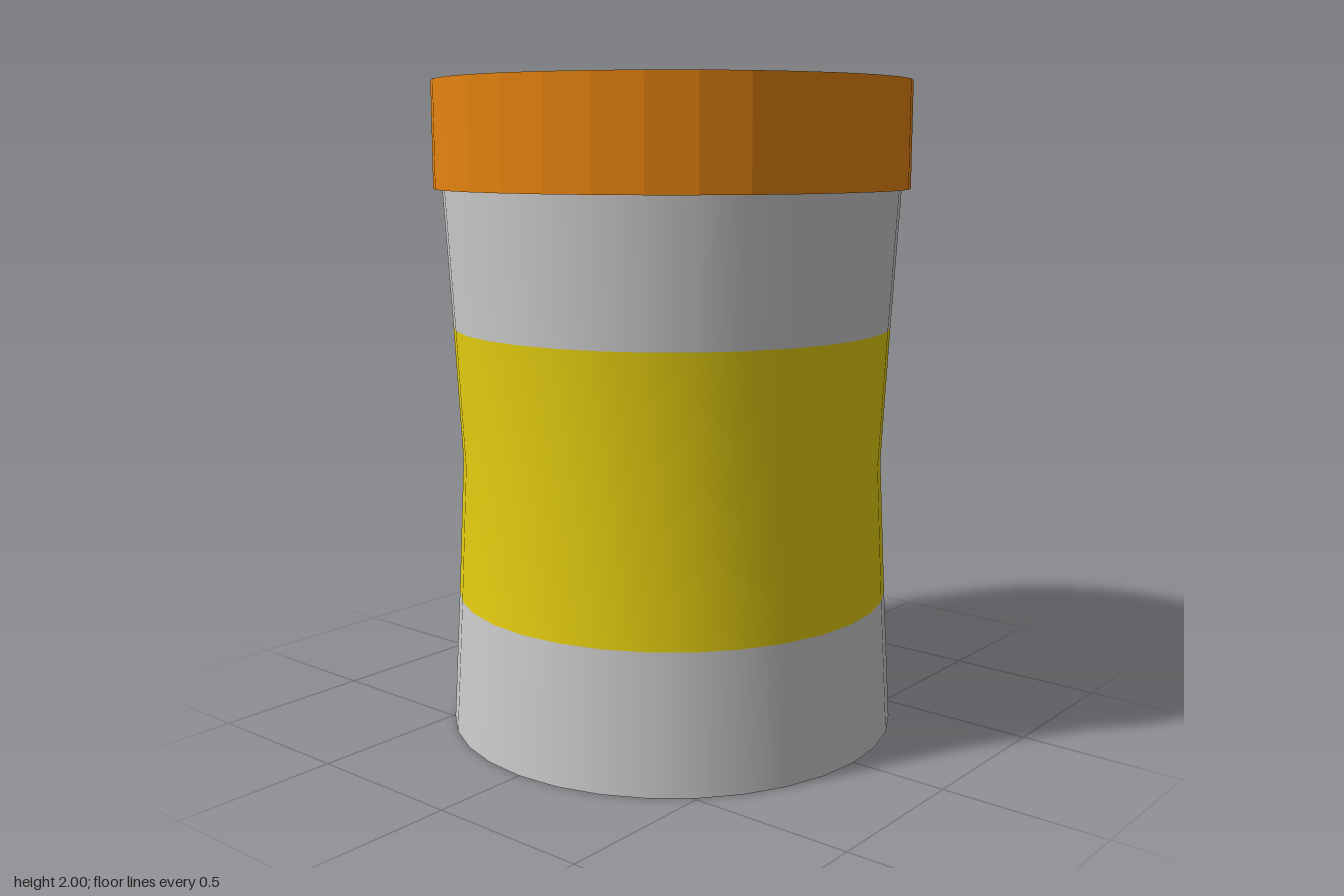
import * as THREE from 'three';

const SIDES = 32;

export function createModel() {
  const group = new THREE.Group();
  const grey = new THREE.MeshStandardMaterial({ color: 0xcccccc });
  const yellow = new THREE.MeshStandardMaterial({ color: 0xe5ce10 });
  const orange = new THREE.MeshStandardMaterial({ color: 0xe5830f, flatShading: true });

  const add = (name, geometry, material, y = 0) => {
    const mesh = new THREE.Mesh(geometry, material);
    mesh.name = name;
    mesh.position.y = y;
    group.add(mesh);
  };
  const band = (...points) =>
    new THREE.LatheGeometry(points.map(([r, y]) => new THREE.Vector2(r, y)), SIDES);

  // Waisted jar wall in three bands
  add('lowerBody', band([0.7, 0], [0.676, 0.42]), grey);
  add('label', band([0.676, 0.42], [0.655, 0.84], [0.676, 1.26]), yellow);
  add('upperBody', band([0.676, 1.26], [0.7, 1.68]), grey);

  // Flat base
  const base = new THREE.CircleGeometry(0.7, SIDES);
  base.rotateX(Math.PI / 2);
  add('base', base, grey);

  // Faceted lid, slightly wider than the jar
  add('lid', new THREE.CylinderGeometry(0.727, 0.727, 0.32, SIDES), orange, 1.84);

  return group;
}
